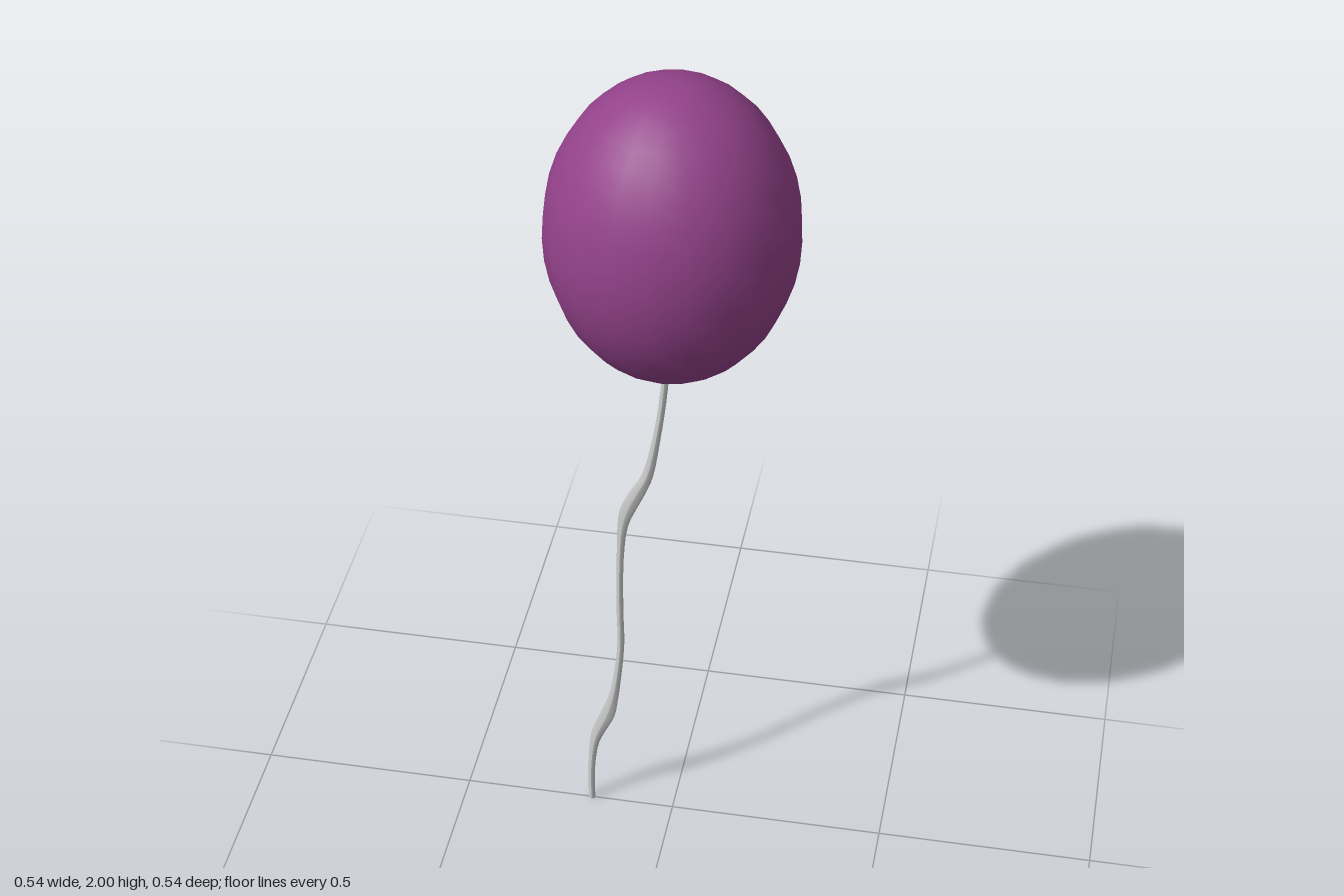
import * as THREE from 'three';

const purple = new THREE.MeshStandardMaterial({ color: 0x93428a });
const grey = new THREE.MeshStandardMaterial({ color: 0xcccccc });

function part(name, geometry, material) {
  const mesh = new THREE.Mesh(geometry, material);
  mesh.name = name;
  return mesh;
}

// Thin string: horizontal rings follow a wavy path, wider in x where it slants
function stringGeometry() {
  // [centre x, y, half width in x]
  const path = new THREE.CatmullRomCurve3([
    [-0.013, 1.3, 0.008], [-0.022, 1.2, 0.008], [-0.036, 1.1, 0.009],
    [-0.056, 1.0, 0.013], [-0.078, 0.95, 0.018], [-0.1, 0.9, 0.018],
    [-0.113, 0.85, 0.012], [-0.12, 0.75, 0.008], [-0.122, 0.6, 0.008],
    [-0.121, 0.5, 0.008], [-0.13, 0.4, 0.009], [-0.141, 0.33, 0.012],
    [-0.157, 0.27, 0.018], [-0.177, 0.22, 0.016], [-0.188, 0.18, 0.011],
    [-0.196, 0.1, 0.008], [-0.197, 0, 0.008],
  ].map((p) => new THREE.Vector3(...p)));

  const geometry = new THREE.CylinderGeometry(1, 1, 1, 8, 48);
  const pos = geometry.attributes.position;
  const c = new THREE.Vector3();
  for (let i = 0; i < pos.count; i++) {
    path.getPoint(THREE.MathUtils.clamp(0.5 - pos.getY(i), 0, 1), c);
    pos.setXYZ(i, c.x + pos.getX(i) * c.z, c.y, pos.getZ(i) * 0.008);
  }
  geometry.computeVertexNormals();
  return geometry;
}

export function createModel() {
  const group = new THREE.Group();
  group.name = 'balloonOnString';

  // Egg-like body, 20 sides around
  const body = part('balloonBody', new THREE.SphereGeometry(1, 20, 20), purple);
  body.scale.set(0.272, 0.346, 0.272);
  body.position.y = 1.654;

  // Flared knot under the body
  const knot = part('knot', new THREE.CylinderGeometry(0.006, 0.023, 0.042, 12), purple);
  knot.position.set(-0.02, 1.296, 0);

  group.add(body, knot, part('string', stringGeometry(), grey));
  return group;
}
